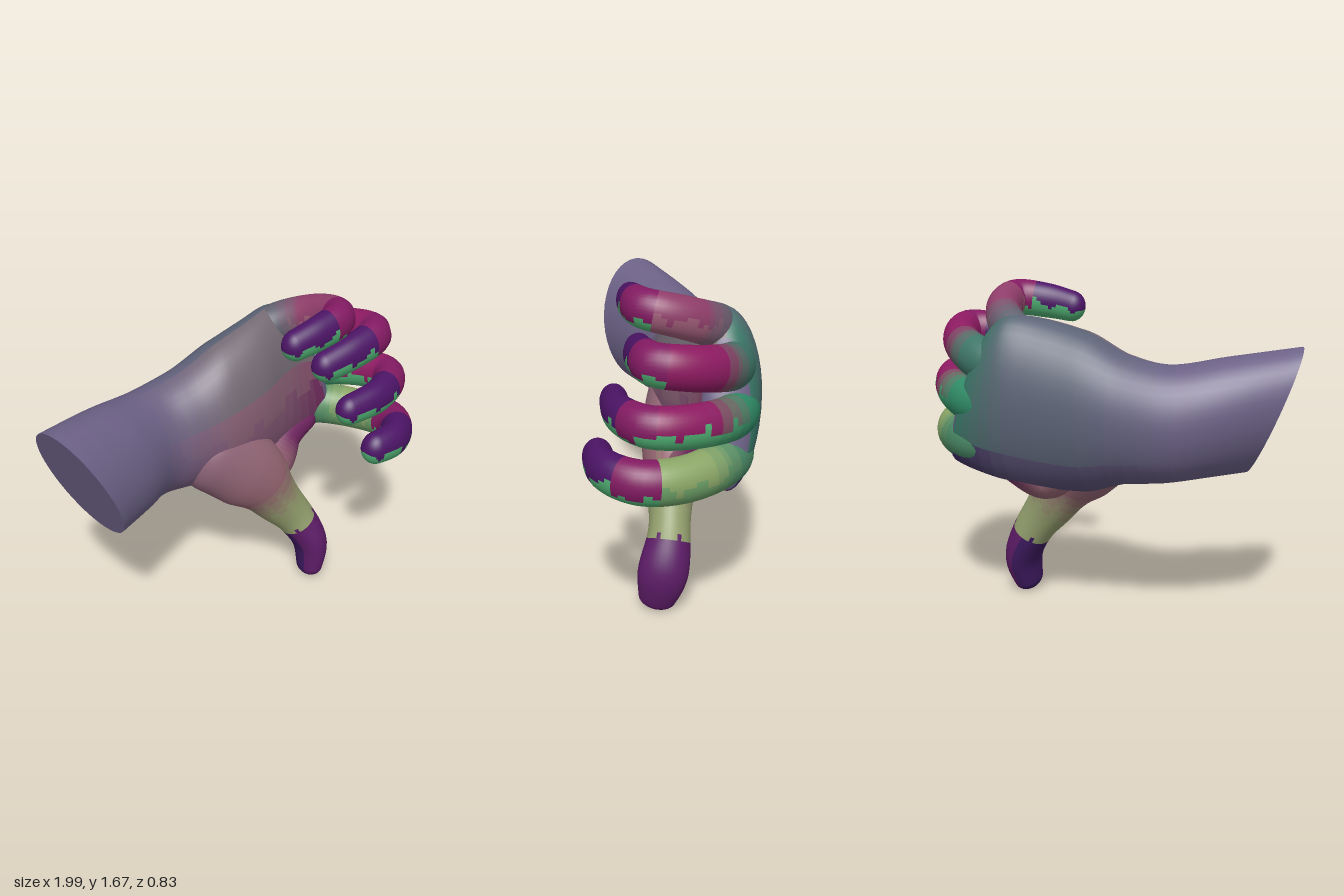
import * as THREE from 'three';

const V = (p) => new THREE.Vector3(...p);
const spline = (pts) => new THREE.CatmullRomCurve3(pts.map(V), false, 'centripetal');
const materials = new Map();
function paint(color) {
  if (!materials.has(color)) materials.set(color, new THREE.MeshStandardMaterial({ color, side: THREE.DoubleSide }));
  return materials.get(color);
}

// Blend of colour stops [t, color], in small steps
function gradient(stops, t) {
  const s = Math.round(t * 24) / 24;
  const i = Math.max(1, stops.findIndex((p) => p[0] >= s));
  const [[a, ca], [b, cb]] = [stops[i - 1], stops[i]];
  const k = THREE.MathUtils.clamp((s - a) / (b - a), 0, 1);
  return new THREE.Color(ca).lerp(new THREE.Color(cb), k).getHex();
}

// Skin of elliptical rings; colorAt(t, up, side) picks the colour of each quad
function loft(name, ringAt, stations, sides, colorAt, flatStart = false) {
  const pos = [];
  const faces = new Map();
  const add = (color, ...ids) => {
    if (!faces.has(color)) faces.set(color, []);
    faces.get(color).push(...ids);
  };
  const point = (r, j) => {
    const a = (j / sides) * Math.PI * 2;
    return r.c.clone().addScaledVector(r.u, Math.cos(a)).addScaledVector(r.v, Math.sin(a));
  };
  stations.forEach((t, i) => {
    const r = ringAt(t);
    for (let j = 0; j < sides; j++) {
      pos.push(...point(r, j).toArray());
      if (i === 0) continue;
      const a = (i - 1) * sides + j, b = (i - 1) * sides + (j + 1) % sides;
      const ang = ((j + 0.5) / sides) * Math.PI * 2;
      const tm = (t + stations[i - 1]) / 2;
      add(colorAt(tm, Math.cos(ang), Math.sin(ang)), a, b, a + sides, b, b + sides, a + sides);
    }
  });
  // Flat cut with its own vertices, so the rim stays sharp
  if (flatStart) {
    const r = ringAt(0), k = pos.length / 3;
    pos.push(...r.c.toArray());
    for (let j = 0; j < sides; j++) {
      pos.push(...point(r, j).toArray());
      add(colorAt(0, 0, 0), k, k + 1 + (j + 1) % sides, k + 1 + j);
    }
  }
  const geo = new THREE.BufferGeometry();
  const index = [], mats = [];
  for (const [color, ids] of faces) {
    geo.addGroup(index.length, ids.length, mats.length);
    mats.push(paint(color));
    for (const id of ids) index.push(id);
  }
  geo.setAttribute('position', new THREE.Float32BufferAttribute(pos, 3));
  geo.setIndex(index);
  geo.computeVertexNormals();
  const mesh = new THREE.Mesh(geo, mats);
  mesh.name = name;
  return mesh;
}

// Evenly spaced stations that crowd together towards a rounded end
function roundedStations(n, t0) {
  const list = [];
  for (let i = 0; i < n; i++) list.push((t0 * i) / n);
  for (let i = 0; i <= 8; i++) list.push(t0 + (1 - t0) * Math.sin((i / 8) * Math.PI / 2));
  return list;
}
const roundEnd = (t, t0) => (t <= t0 ? 1 : Math.sqrt(Math.max(0.0004, 1 - ((t - t0) / (1 - t0)) ** 2)));

// Digit: path to the very tip, radii [across, deep] spread along it
function digit(name, path, radii, ref, colorAt) {
  const curve = spline(path), up = V(ref);
  const t0 = 1 - radii[radii.length - 1][0] * 0.9 / curve.getLength();
  const rad = new THREE.CatmullRomCurve3(radii.map((r) => V([r[0], r[1], 0])));
  const ringAt = (t) => {
    const T = curve.getTangentAt(t), k = roundEnd(t, t0), r = rad.getPoint(t);
    const u = up.clone().addScaledVector(T, -T.dot(up)).normalize();
    const v = T.clone().cross(u).multiplyScalar(r.y * k);
    return { c: curve.getPointAt(t), u: u.multiplyScalar(r.x * k), v };
  };
  return loft(name, ringAt, roundedStations(44, t0), 32, colorAt);
}

export function createModel() {
  const hand = new THREE.Group();
  hand.name = 'hand';

  // Forearm, wrist and palm: centre, half height, half depth
  const body = [
    [[-0.85, 1.08, 0.17], [-0.13, 0.315, 0.02], [0.08, 0, 0.2]],
    [[-0.62, 1.05, 0.03], [-0.05, 0.3, 0], [0.09, 0, 0.21]],
    [[-0.4, 1.02, -0.09], [0, 0.29, 0], [0.06, 0, 0.21]],
    [[-0.2, 1.03, -0.12], [0, 0.32, 0], [0.02, 0, 0.225]],
    [[0, 1.05, -0.135], [0, 0.4, 0], [0, 0, 0.235]],
    [[0.2, 1.08, -0.175], [0, 0.425, 0], [0, 0, 0.22]],
    [[0.4, 1.11, -0.235], [-0.03, 0.42, 0], [0, 0, 0.182]],
    [[0.55, 1.11, -0.25], [-0.09, 0.37, 0], [0, 0, 0.137]],
    [[0.67, 1.09, -0.225], [-0.12, 0.3, 0], [0, 0, 0.095]],
  ];
  const [cs, us, vs] = [0, 1, 2].map((k) => new THREE.CatmullRomCurve3(body.map((s) => V(s[k]))));
  const palmRing = (t) => {
    const k = roundEnd(t, 0.93);
    return { c: cs.getPoint(t), u: us.getPoint(t).multiplyScalar(k), v: vs.getPoint(t).multiplyScalar(k) };
  };
  const tone = (mid, end) => [[0, 0x6d6388], [0.2, 0x6b6084], [0.5, mid], [0.72, mid], [0.95, end]];
  const back = tone(0x5a6274, 0x2f7a63), backLow = tone(0x584f72, 0x35205c);
  const front = tone(0x8a6276, 0x84486a), frontTop = tone(0x746a74, 0x76686f), frontLow = tone(0x875a78, 0x70205c);
  const palmColor = (t, up, side) => {
    if (side < 0) return gradient(up < -0.6 ? backLow : back, t);
    if (up > 0.35) return gradient(frontTop, t);
    return gradient(up < -0.1 - 0.05 * Math.sin(40 * t) ? frontLow : front, t);
  };
  hand.add(loft('forearmAndPalm', palmRing, roundedStations(44, 0.93), 40, palmColor, true));

  // Curled fingers: path, girth, colours of the root and the upper and lower middle joint
  const fingers = [
    ['littleFinger', [[0.12, 1.3, -0.19], [0.37, 1.43, -0.21], [0.53, 1.53, -0.05], [0.545, 1.575, 0.12], [0.4, 1.56, 0.18], [0.19, 1.52, 0.2]],
      0.09, 0x626270, 0x8f3d6a, 0x9a5a74],
    ['ringFinger', [[0.2, 1.22, -0.25], [0.53, 1.3, -0.27], [0.75, 1.37, -0.11], [0.8, 1.405, 0.07], [0.64, 1.385, 0.14], [0.39, 1.335, 0.16]],
      0.095, 0x3f7668, 0x8e1a62, 0x8e1a62],
    ['middleFinger', [[0.25, 1.08, -0.28], [0.58, 1.09, -0.29], [0.815, 1.13, -0.1], [0.885, 1.155, 0.1], [0.74, 1.15, 0.23], [0.47, 1.135, 0.28]],
      0.092, 0x2f8a66, 0x8e1a62, 0x4fae72],
    ['indexFinger', [[0.28, 0.91, -0.23], [0.6, 0.89, -0.26], [0.83, 0.885, -0.06], [0.9, 0.9, 0.15], [0.8, 0.915, 0.305], [0.59, 0.92, 0.355]],
      0.1, 0x4a8a66, 0x8ba667, 0x6c9f66],
  ];
  for (const [name, path, r, root, upper, lower] of fingers) {
    const radii = [[r, r], [r * 1.2, r * 1.05], [r * 1.12, r], [r * 1.06, r * 0.95], [r, r * 0.8], [r * 0.82, r * 0.68]];
    hand.add(digit(name, path, radii, [0, 1, 0], (t, up) => {
      const edge = up + 0.2 * Math.sin(47 * t) + 0.15 * Math.sin(113 * t);
      if (t > 0.74) return edge > -0.15 ? 0x4c1466 : 0x4fae72;
      if (t > 0.62) return edge > -0.4 ? 0x821a62 : 0x4fae72;
      return gradient([[0.3, root], [0.46, edge > 0 ? upper : lower], [0.62, edge > 0 ? upper : lower]], t);
    }));
  }

  // Thumb with its fleshy base, pointing down
  const thumbPath = [[-0.25, 1, -0.1], [-0.02, 0.86, -0.04], [0.16, 0.7, 0], [0.29, 0.52, 0.01], [0.41, 0.36, 0.02], [0.485, 0.2, 0.05], [0.465, 0, 0.09]];
  const thumbRadii = [[0.12, 0.11], [0.205, 0.18], [0.205, 0.165], [0.145, 0.125], [0.11, 0.103], [0.092, 0.125], [0.056, 0.08]];
  hand.add(digit('thumb', thumbPath, thumbRadii, [1, 0.5, 0], (t, up, side) => {
    const e = t + 0.012 * Math.sin(9 * up);
    if (e > 0.72) return side > 0.5 || up > 0 ? 0x5c1c66 : 0x3d1a60;
    return gradient([[0.1, 0x8c6478], [0.42, 0x966672], [0.6, 0x94a06e], [0.72, 0x94a06e]], e);
  }));

  // Web of skin between thumb and index finger
  hand.add(digit('thumbWeb', [[0.08, 0.82, -0.13], [0.26, 0.7, -0.1], [0.42, 0.79, -0.19], [0.64, 0.86, -0.24]],
    [[0.12, 0.13], [0.125, 0.15], [0.105, 0.125], [0.085, 0.085]], [0, 1, 0],
    (t) => gradient([[0.3, 0x966672], [0.6, 0x6e245e], [1, 0x6e245e]], t)));
  return hand;
}
